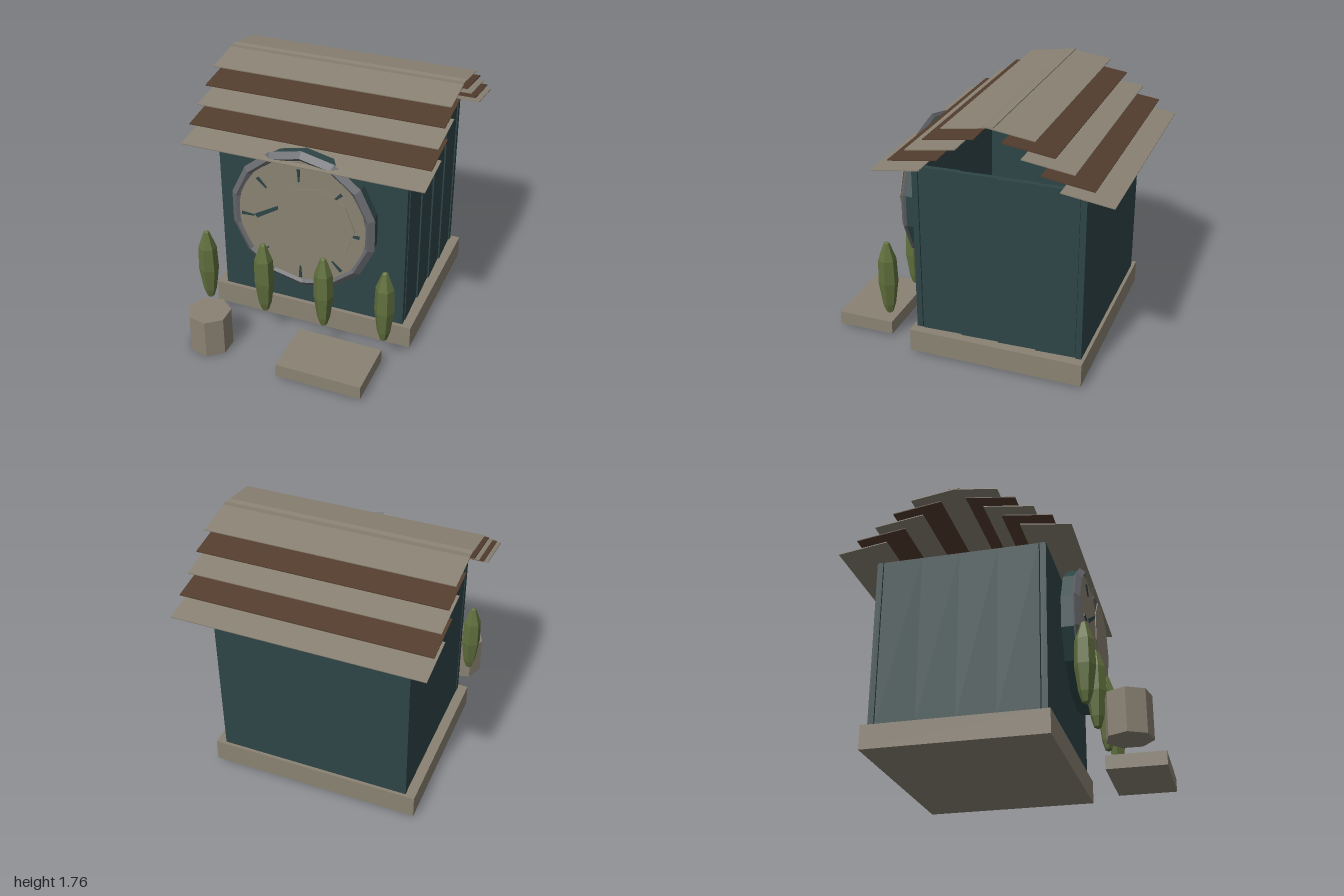
import * as THREE from 'three';

const mat = (name, color) => {
  const m = new THREE.MeshStandardMaterial({ color, flatShading: true });
  m.name = name;
  return m;
};

export function createModel() {
  const root = new THREE.Group();
  root.name = 'shed';
  const stone = mat('paleStone', 0x8a8273);
  const teal = mat('tealWood', 0x2e4546);
  const brown = mat('brownWood', 0x533d2e);
  const green = mat('leafGreen', 0x606f3d);
  const grey = mat('greyMetal', 0x66676b);

  const add = (name, geo, material, x = 0, y = 0, z = 0, parent = root) => {
    const mesh = new THREE.Mesh(geo, material);
    mesh.name = name;
    mesh.position.set(x, y, z);
    parent.add(mesh);
    return mesh;
  };
  const box = (name, w, h, d, material, x, y, z, parent) =>
    add(name, new THREE.BoxGeometry(w, h, d), material, x, y, z, parent);

  // Foundation, doorstep and stump
  box('foundation', 1.45, 0.16, 1.2, stone, 0, 0.1, -0.212);
  box('doorstep', 0.59, 0.095, 0.4, stone, 0.3, 0.068, 0.79);
  add('stump', new THREE.CylinderGeometry(0.147, 0.147, 0.28, 7), stone, -0.555, 0.14, 0.825).rotation.y = 0.25;

  // Plank walls, open at the top
  const walls = new THREE.Group();
  walls.name = 'walls';
  root.add(walls);
  const wallY = 0.77, wallH = 1.18;
  const frontEdges = [-0.66, -0.38, 0, 0.38, 0.66];
  for (let i = 0; i < 4; i++) {
    const w = frontEdges[i + 1] - frontEdges[i];
    const x = (frontEdges[i + 1] + frontEdges[i]) / 2;
    box('frontPlank', w, wallH, 0.04, teal, x, wallY, 0.34, walls);
    box('backPlank', w, wallH, 0.04, teal, x, wallY, -0.77, walls);
  }
  const sideEdges = [-0.745, -0.48, -0.22, 0.04, 0.313];
  for (let i = 0; i < 4; i++) {
    const d = sideEdges[i + 1] - sideEdges[i];
    const z = (sideEdges[i + 1] + sideEdges[i]) / 2;
    const plank = box('rightPlank', 0.035, wallH, d, teal, 0.64, wallY, z, walls);
    plank.rotation.y = 0.04;
    box('leftPlank', 0.035, wallH, d, teal, -0.64, wallY, z, walls);
  }

  // Five overlapping boards on each roof slope, alternating in colour
  const roof = new THREE.Group();
  roof.name = 'roof';
  root.add(roof);
  for (const side of [1, -1]) {
    for (let i = 0; i < 5; i++) {
      const board = box('roofBoard', 1.65, 0.006, 0.335, i % 2 ? brown : stone,
        0, 1.388 + i * 0.0862, -0.22 + side * (0.615 - i * 0.1215), roof);
      board.rotation.x = side * 0.142;
    }
  }

  // Clock: drum, rim, dial, hour marks, hand and small inner disc
  const clock = new THREE.Group();
  clock.name = 'clock';
  clock.position.set(0, 0.935, 0);
  root.add(clock);
  add('clockDrum', new THREE.CylinderGeometry(0.495, 0.495, 0.085, 14), teal, 0, 0, 0.458, clock).rotation.x = Math.PI / 2;
  const rim = add('clockRim', new THREE.TorusGeometry(0.472, 0.04, 4, 14), grey, 0, 0.005, 0.508, clock);
  rim.rotation.z = Math.PI / 2;
  rim.scale.z = 0.8;
  add('clockDial', new THREE.CylinderGeometry(0.452, 0.452, 0.008, 16), stone, 0, 0, 0.52, clock).rotation.x = Math.PI / 2;

  const wedge = (r0, r1, w0, w1) => new THREE.ExtrudeGeometry(new THREE.Shape([
    new THREE.Vector2(-w0, r0), new THREE.Vector2(w0, r0),
    new THREE.Vector2(w1, r1), new THREE.Vector2(-w1, r1),
  ]), { depth: 0.008, bevelEnabled: false });
  for (let i = 0; i < 8; i++) {
    add('hourMark', wedge(0.32, 0.41, 0.004, 0.011), teal, 0, 0, 0.55, clock).rotation.z = i * Math.PI / 4;
  }
  add('clockHand', wedge(0, 0.34, 0.007, 0.015), teal, -0.01, 0.185, 0.562, clock).rotation.z = 2.118;
  const disc = add('innerDisc', new THREE.CylinderGeometry(0.27, 0.27, 0.006, 9), stone, 0.122, 0.05, 0.583, clock);
  disc.rotation.set(Math.PI / 2, 0.2, 0);

  // Row of slim bushes
  const profile = [[0, 0.2], [0.025, 0.215], [0.045, 0.28], [0.068, 0.45], [0.062, 0.62], [0.02, 0.74], [0, 0.752]]
    .map(([r, y]) => new THREE.Vector2(r, y));
  [-0.67, -0.25, 0.18, 0.605].forEach((x, i) => {
    add('bush', new THREE.LatheGeometry(profile, 6), green, x, 0, 0.592).rotation.y = i * 0.9;
  });

  return root;
}
